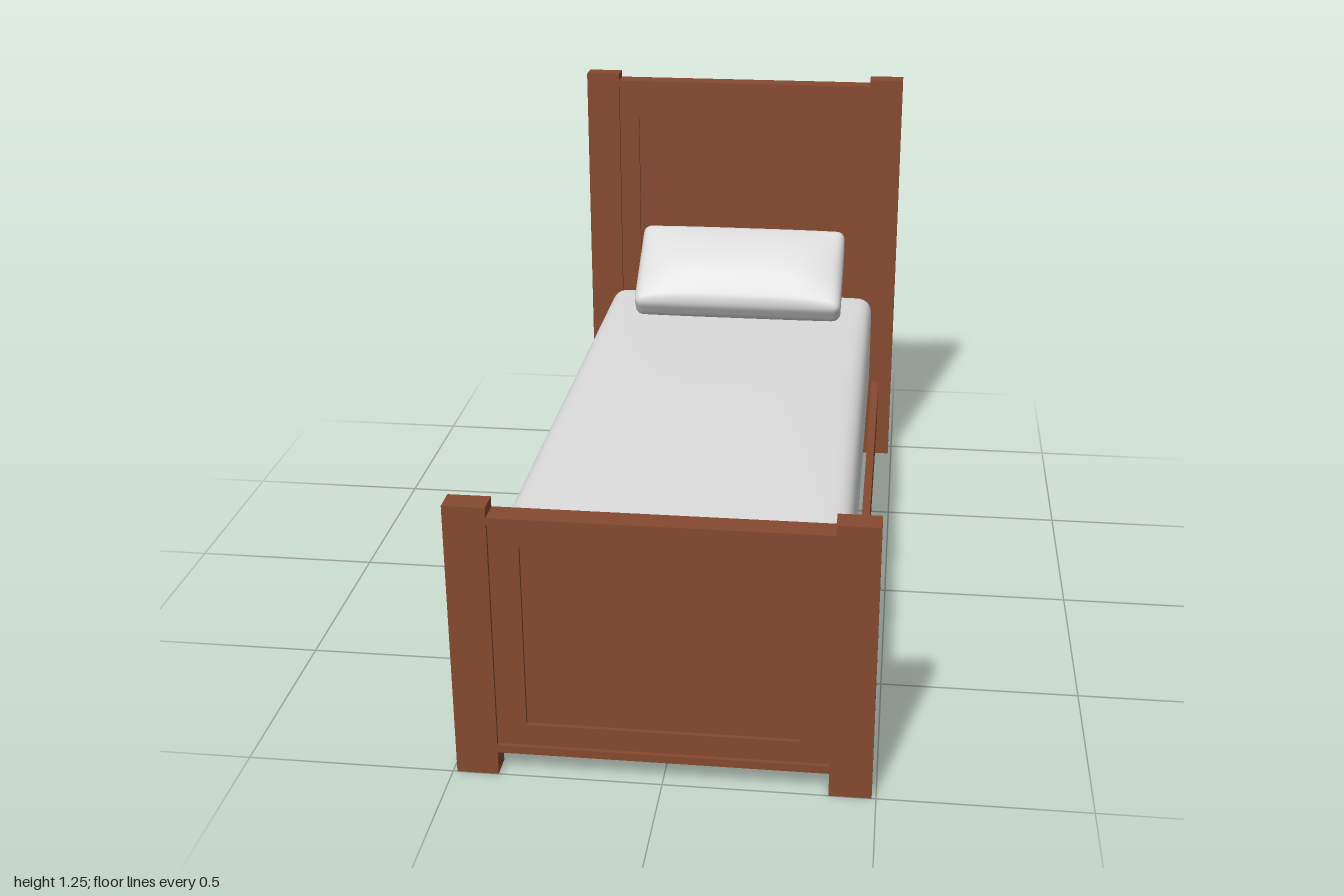
import * as THREE from 'three';
import { mergeVertices } from 'three/addons/utils/BufferGeometryUtils.js';

const wood = new THREE.MeshStandardMaterial({ color: 0x86492f });
wood.name = 'brown wood';
const linen = new THREE.MeshStandardMaterial({ color: 0xdcdcdc });
linen.name = 'pale linen';

// Box given by its minimum and maximum corners
function box(name, [x0, y0, z0], [x1, y1, z1]) {
  const mesh = new THREE.Mesh(new THREE.BoxGeometry(x1 - x0, y1 - y0, z1 - z0), wood);
  mesh.position.set((x0 + x1) / 2, (y0 + y1) / 2, (z0 + z1) / 2);
  mesh.name = name;
  return mesh;
}

// Rounded box whose top and bottom swell towards the middle
function softBox(name, w, h, d, r, swellTop, swellBottom) {
  const geo = new THREE.BoxGeometry(2, 2, 2, 36, 16, 48);
  geo.deleteAttribute('uv');
  geo.deleteAttribute('normal');
  const pos = geo.attributes.position;
  const half = new THREE.Vector3(w / 2, h / 2, d / 2);
  const core = half.clone().subScalar(r);
  const p = new THREE.Vector3(), c = new THREE.Vector3();
  const crowd = (t) => Math.sin((t * Math.PI) / 2); // denser near the edges
  for (let i = 0; i < pos.count; i++) {
    p.fromBufferAttribute(pos, i);
    p.set(crowd(p.x), crowd(p.y), crowd(p.z)).multiply(half);
    c.copy(p).clamp(core.clone().negate(), core);
    p.sub(c).setLength(r).add(c);
    const u = p.x / half.x, v = p.z / half.z, k = p.y / half.y;
    p.y += k * (k > 0 ? swellTop : swellBottom) * (1 - u ** 4) * (1 - v * v);
    pos.setXYZ(i, p.x, p.y, p.z);
  }
  const merged = mergeVertices(geo, 1e-5);
  merged.computeVertexNormals();
  const mesh = new THREE.Mesh(merged, linen);
  mesh.name = name;
  return mesh;
}

// End board: two posts, rails and a stepped, recessed panel on its +z face
function endBoard(name, z, postTop, railTop, frameTop, panelTop, panelX) {
  const g = new THREE.Group();
  g.name = name;
  const x = 0.39, step = 0.01, depth = 0.06, front = depth / 2;
  for (const s of [-1, 1]) {
    const post = box(s > 0 ? 'leftPost' : 'rightPost', [-0.05, 0, -front], [0.05, postTop, front]);
    post.position.x = s * 0.44;
    g.add(post);
  }
  g.add(box('topRail', [-x, frameTop, -front], [x, railTop, front]));
  g.add(box('bottomRail', [-x, 0.06, -front], [x, 0.08, front]));
  g.add(box('backPanel', [-x, 0.08, -front], [x, frameTop, front - 2 * step]));

  // raised frame around the sunken panel
  const shape = new THREE.Shape();
  shape.moveTo(-x, 0.08).lineTo(x, 0.08).lineTo(x, frameTop).lineTo(-x, frameTop).closePath();
  const hole = new THREE.Path();
  hole.moveTo(-panelX, 0.135).lineTo(-panelX, panelTop).lineTo(0.32, panelTop).lineTo(0.32, 0.135).closePath();
  shape.holes.push(hole);
  const frame = new THREE.Mesh(new THREE.ExtrudeGeometry(shape, { depth: step, bevelEnabled: false }), wood);
  frame.position.z = front - 2 * step;
  frame.name = 'panelFrame';
  g.add(frame);
  g.position.z = z;
  return g;
}

export function createModel() {
  const bed = new THREE.Group();
  bed.name = 'bed';
  bed.add(endBoard('footboard', 0.97, 0.7, 0.675, 0.655, 0.6, 0.32));
  bed.add(endBoard('headboard', -0.97, 1.25, 1.23, 1.21, 1.11, 0.33));

  // side rails
  for (const s of [-1, 1]) {
    const rail = box(s > 0 ? 'leftSideRail' : 'rightSideRail', [-0.011, 0.105, -0.94], [0.011, 0.255, 0.94]);
    rail.position.x = s * 0.439;
    bed.add(rail);
  }

  const mattress = softBox('mattress', 0.835, 0.3, 1.865, 0.045, 0.025, 0);
  mattress.position.set(0.002, 0.405, -0.005);
  bed.add(mattress);

  // pillow leaning towards the headboard
  const pillow = softBox('pillow', 0.63, 0.085, 0.305, 0.025, 0.045, 0.038);
  pillow.position.set(0.015, 0.686, -0.728);
  pillow.rotation.x = 0.6;
  bed.add(pillow);
  return bed;
}
